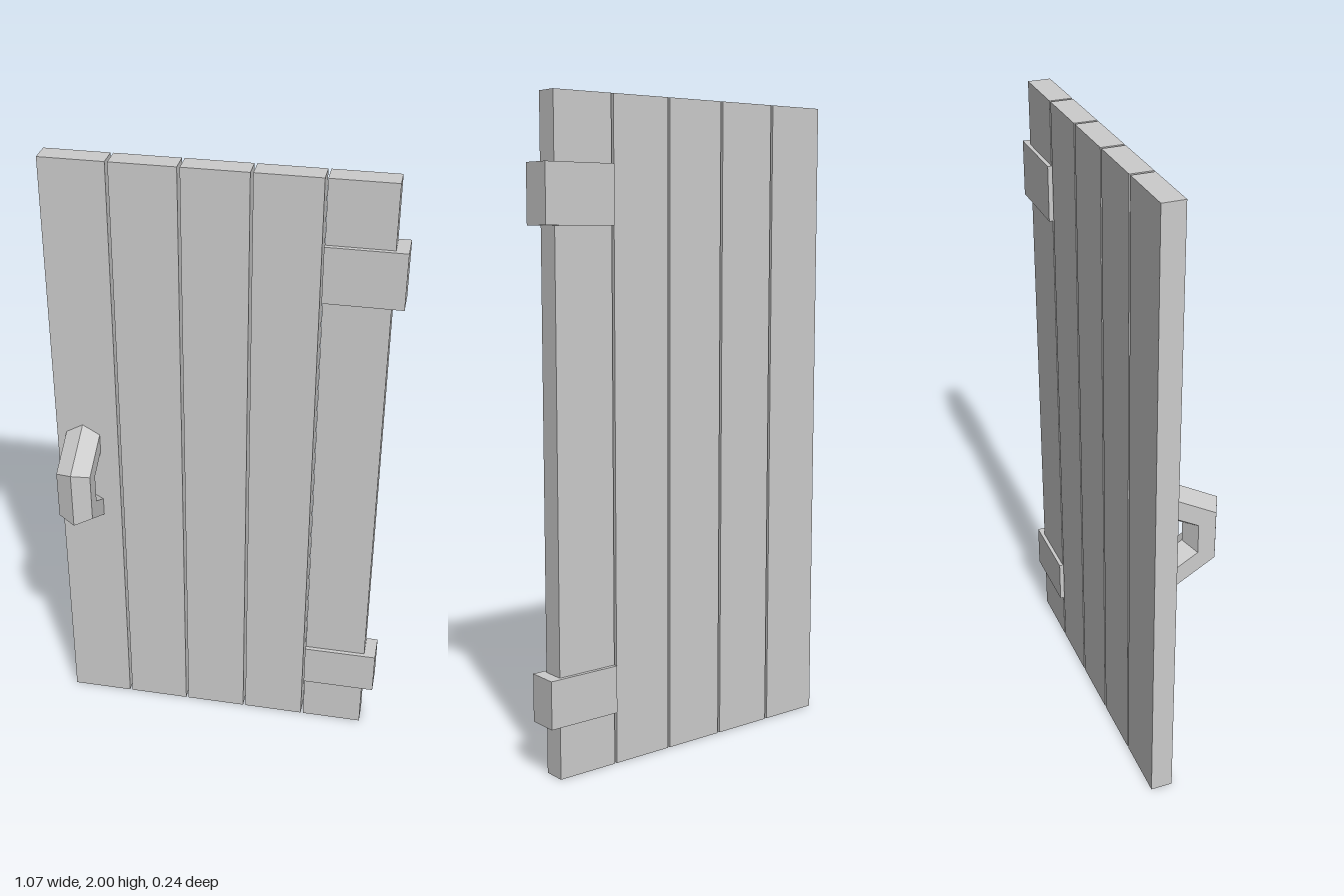
import * as THREE from 'three';

export function createModel() {
  const group = new THREE.Group();
  const material = new THREE.MeshStandardMaterial({ color: 0xcccccc, flatShading: true });

  const add = (name, geometry, x, y, z) => {
    const mesh = new THREE.Mesh(geometry, material);
    mesh.name = name;
    mesh.position.set(x, y, z);
    group.add(mesh);
  };

  // Five upright planks with narrow gaps
  const plankWidth = 0.199, pitch = 0.2073;
  for (let i = 0; i < 5; i++) {
    add(`plank${i + 1}`, new THREE.BoxGeometry(plankWidth, 2, 0.07),
      -0.534 + plankWidth / 2 + i * pitch, 1, -0.075);
  }

  // Hinge blocks wrapped around the last plank: [name, bottom, top]
  for (const [name, y0, y1] of [['lowerHinge', 0.165, 0.312], ['upperHinge', 1.626, 1.802]]) {
    add(name, new THREE.BoxGeometry(0.238, y1 - y0, 0.096), 0.413, (y0 + y1) / 2, -0.074);
  }

  // Half-ring handle with a six-sided section, bent in three straight runs
  const handle = new THREE.TorusGeometry(0.127, 0.063, 6, 3, Math.PI);
  handle.rotateX(Math.PI / 2).rotateZ(Math.PI / 2);
  add('handle', handle, -0.449, 0.93, -0.045);

  return group;
}
